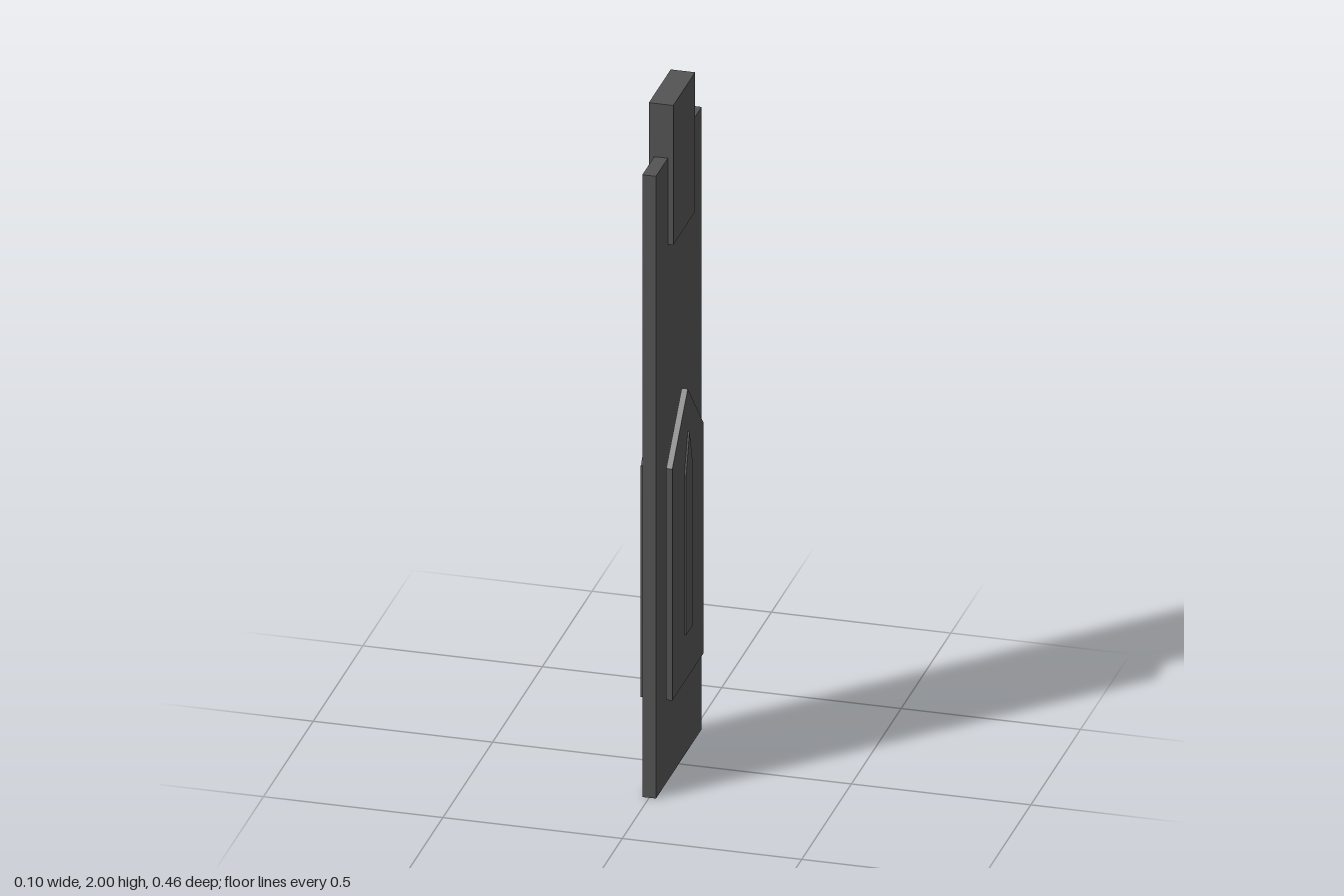
import * as THREE from 'three';

const darkGrey = new THREE.MeshStandardMaterial({ color: 0x545454 });
darkGrey.name = 'darkGrey';

export function createModel() {
  const model = new THREE.Group();
  model.name = 'pointedPanel';

  function add(name, geometry, x, y) {
    const mesh = new THREE.Mesh(geometry, darkGrey);
    mesh.name = name;
    mesh.position.set(x, y, 0);
    model.add(mesh);
  }

  // Upright plate with a pointed top, extruded along x and centred on x = 0
  function pointedPlate(halfWidth, bottom, shoulder, apex, thickness) {
    const shape = new THREE.Shape([
      new THREE.Vector2(-halfWidth, bottom),
      new THREE.Vector2(halfWidth, bottom),
      new THREE.Vector2(halfWidth, shoulder),
      new THREE.Vector2(0, apex),
      new THREE.Vector2(-halfWidth, shoulder),
    ]);
    return new THREE.ExtrudeGeometry(shape, { depth: thickness, bevelEnabled: false })
      .translate(0, 0, -thickness / 2)
      .rotateY(Math.PI / 2);
  }

  // Main slab and the thicker block straddling its top edge
  add('slab', new THREE.BoxGeometry(0.038, 1.842, 0.46), 0, 0.921);
  add('topBlock', new THREE.BoxGeometry(0.068, 0.413, 0.22), 0, 1.7935);

  // Pointed plate with a narrow raised strip on each side
  for (const [side, s] of [['left', 1], ['right', -1]]) {
    add(side + 'Plate', pointedPlate(0.156, 0.26, 0.945, 1.113, 0.017), s * 0.0355, 0);
    add(side + 'Strip', pointedPlate(0.034, 0.4, 0.875, 0.988, 0.01), s * 0.044, 0);
  }
  return model;
}
